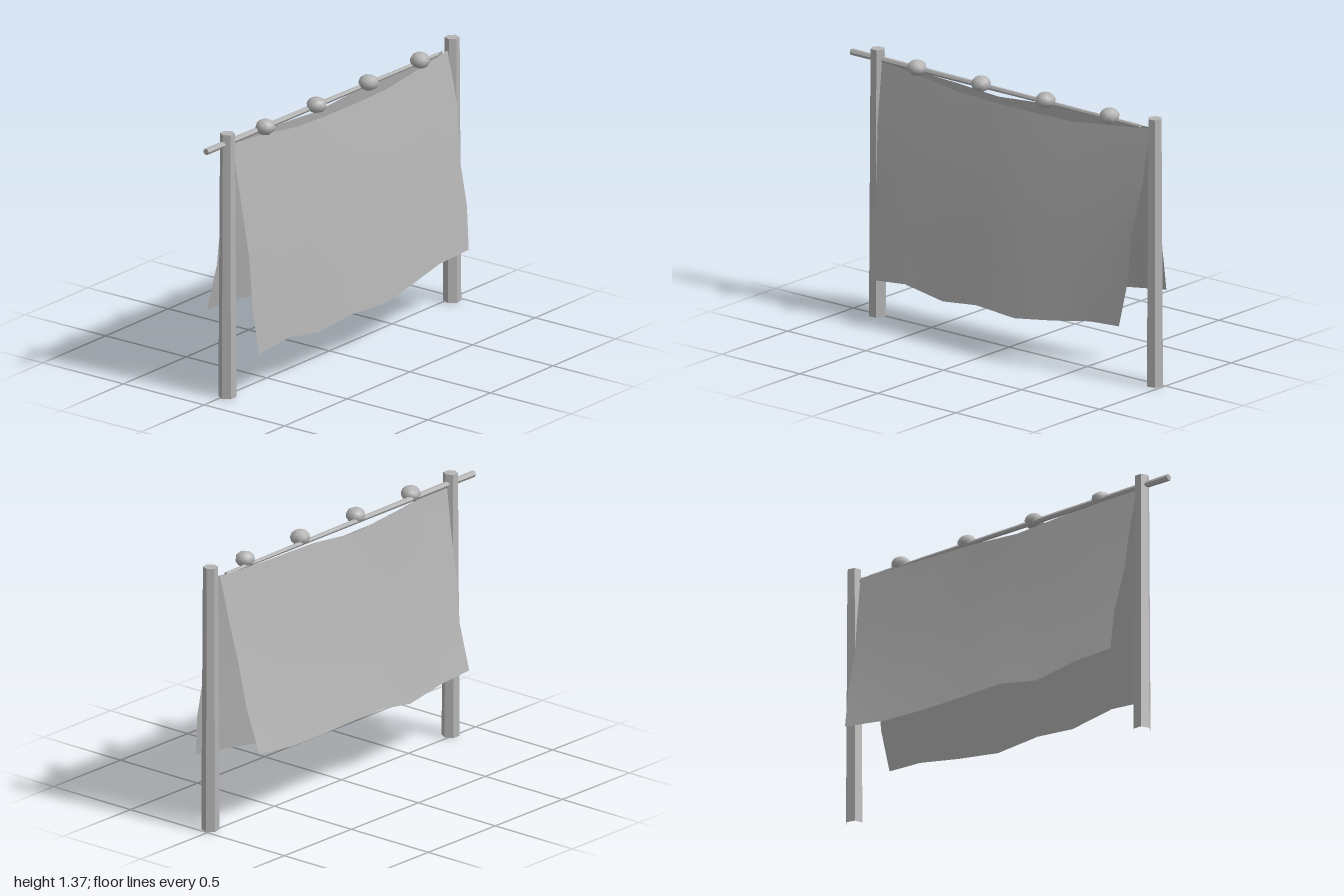
import * as THREE from 'three';

const grey = new THREE.MeshStandardMaterial({ color: 0xb4b4b4 });
grey.name = 'grey';
const clothGrey = grey.clone();
clothGrey.name = 'cloth grey';
clothGrey.side = THREE.DoubleSide;

const flat = (geometry) => {
  const g = geometry.toNonIndexed();
  g.computeVertexNormals();
  return g;
};

function add(parent, name, geometry, material = grey) {
  const mesh = new THREE.Mesh(geometry, material);
  mesh.name = name;
  parent.add(mesh);
  return mesh;
}

// Tapered hexagonal post, open underneath
function makePost(name, x, z, turn) {
  const post = new THREE.Group();
  post.name = name;
  const height = 1.37;
  const shaft = new THREE.CylinderGeometry(0.037, 0.045, height, 6, 1, true).translate(0, height / 2, 0);
  add(post, 'postShaft', flat(shaft));
  const cap = new THREE.CircleGeometry(0.037, 6, Math.PI / 2).rotateX(-Math.PI / 2).translate(0, height, 0);
  add(post, 'postTop', cap);
  post.position.set(x, 0, z);
  post.rotation.y = turn;
  return post;
}

// Hanging sheet lofted from its top edge to its ragged bottom edge.
// sides: per row [drop 0..1, spread 0..1, left shift, right shift]
function makeSheet(top, bottom, sides, facing) {
  const positions = [], index = [], cols = top.length;
  for (const [drop, spread, left, right] of sides) {
    for (let i = 0; i < cols; i++) {
      const u = i / (cols - 1), a = top[i], b = bottom[i];
      const shift = left * Math.max(0, 1 - 4 * u) + right * Math.max(0, 4 * u - 3);
      positions.push(
        a[0] + (b[0] - a[0]) * drop + shift,
        a[1] + (b[1] - a[1]) * drop,
        a[2] + (b[2] - a[2]) * spread
      );
    }
  }
  for (let r = 0; r < sides.length - 1; r++) {
    for (let i = 0; i < cols - 1; i++) {
      const a = r * cols + i, b = a + 1, c = a + cols, d = c + 1;
      if (facing > 0) index.push(a, c, b, b, c, d);
      else index.push(a, b, c, b, d, c);
    }
  }
  const g = new THREE.BufferGeometry();
  g.setAttribute('position', new THREE.Float32BufferAttribute(positions, 3));
  g.setIndex(index);
  g.computeVertexNormals();
  return g;
}

export function createModel() {
  const model = new THREE.Group();
  model.name = 'hangingCloth';

  // Posts
  model.add(makePost('rightPost', -0.832, 0.015, Math.PI / 6));
  model.add(makePost('leftPost', 0.952, 0.022, Math.PI / 6 + 0.2));

  // Crossbar, thinner towards the model's left
  const start = new THREE.Vector3(-1, 1.319, 0.012), end = new THREE.Vector3(0.85, 1.306, 0.012);
  const bar = add(model, 'crossbar', flat(new THREE.CylinderGeometry(0.009, 0.017, start.distanceTo(end), 6)));
  bar.position.copy(start).lerp(end, 0.5);
  bar.quaternion.setFromUnitVectors(new THREE.Vector3(0, 1, 0), end.clone().sub(start).normalize());

  // Rounded lumps along the crossbar
  [-0.56, -0.15, 0.265, 0.675].forEach((x, i) => {
    const lump = new THREE.Group();
    lump.name = 'lump' + (i + 1);
    lump.position.set(x, 1.331, 0.038);
    lump.scale.set(1, 0.82, 1);
    const ball = add(lump, 'lumpBall', new THREE.SphereGeometry(0.05, 9, 6));
    ball.rotation.set(0.5 + i, i * 1.7, 0.4 * i);
    model.add(lump);
  });

  // Front sheet
  const frontTop = [
    [-0.8, 1.308, 0.02], [-0.57, 1.29, 0.025], [-0.3, 1.256, 0.03], [-0.08, 1.25, 0.035],
    [0.2, 1.249, 0.035], [0.42, 1.25, 0.03], [0.77, 1.29, 0.025], [0.92, 1.31, 0.02]
  ];
  const frontBottom = [
    [-0.76, 0.23, 0.155], [-0.53, 0.255, 0.165], [-0.29, 0.215, 0.163], [-0.06, 0.245, 0.18],
    [0.19, 0.23, 0.187], [0.43, 0.265, 0.182], [0.66, 0.305, 0.172], [0.865, 0.325, 0.193]
  ];
  const frontSides = [
    [0, 0, 0, 0], [0.28, 0.34, 0, 0.015], [0.55, 0.6, 0.01, -0.005], [0.78, 0.81, -0.01, 0.015], [1, 1, 0, 0]
  ];
  add(model, 'frontSheet', makeSheet(frontTop, frontBottom, frontSides, 1), clothGrey);

  // Back sheet
  const backTop = [
    [-0.8, 1.305, 0.01], [-0.58, 1.3, 0.005], [-0.32, 1.285, -0.005], [-0.08, 1.267, -0.01],
    [0.2, 1.293, 0], [0.4, 1.297, 0], [0.62, 1.3, 0], [0.9, 1.31, 0.005]
  ];
  const backBottom = [
    [-0.77, 0.396, -0.16], [-0.556, 0.386, -0.166], [-0.32, 0.348, -0.168], [-0.098, 0.386, -0.18],
    [0.13, 0.382, -0.178], [0.356, 0.378, -0.184], [0.596, 0.383, -0.19], [0.84, 0.415, -0.198]
  ];
  const backSides = [
    [0, 0, 0, 0], [0.25, 0.22, 0.005, 0], [0.5, 0.45, 0, -0.005], [0.74, 0.7, 0.02, 0.01], [1, 1, 0, 0]
  ];
  add(model, 'backSheet', makeSheet(backTop, backBottom, backSides, -1), clothGrey);

  return model;
}
